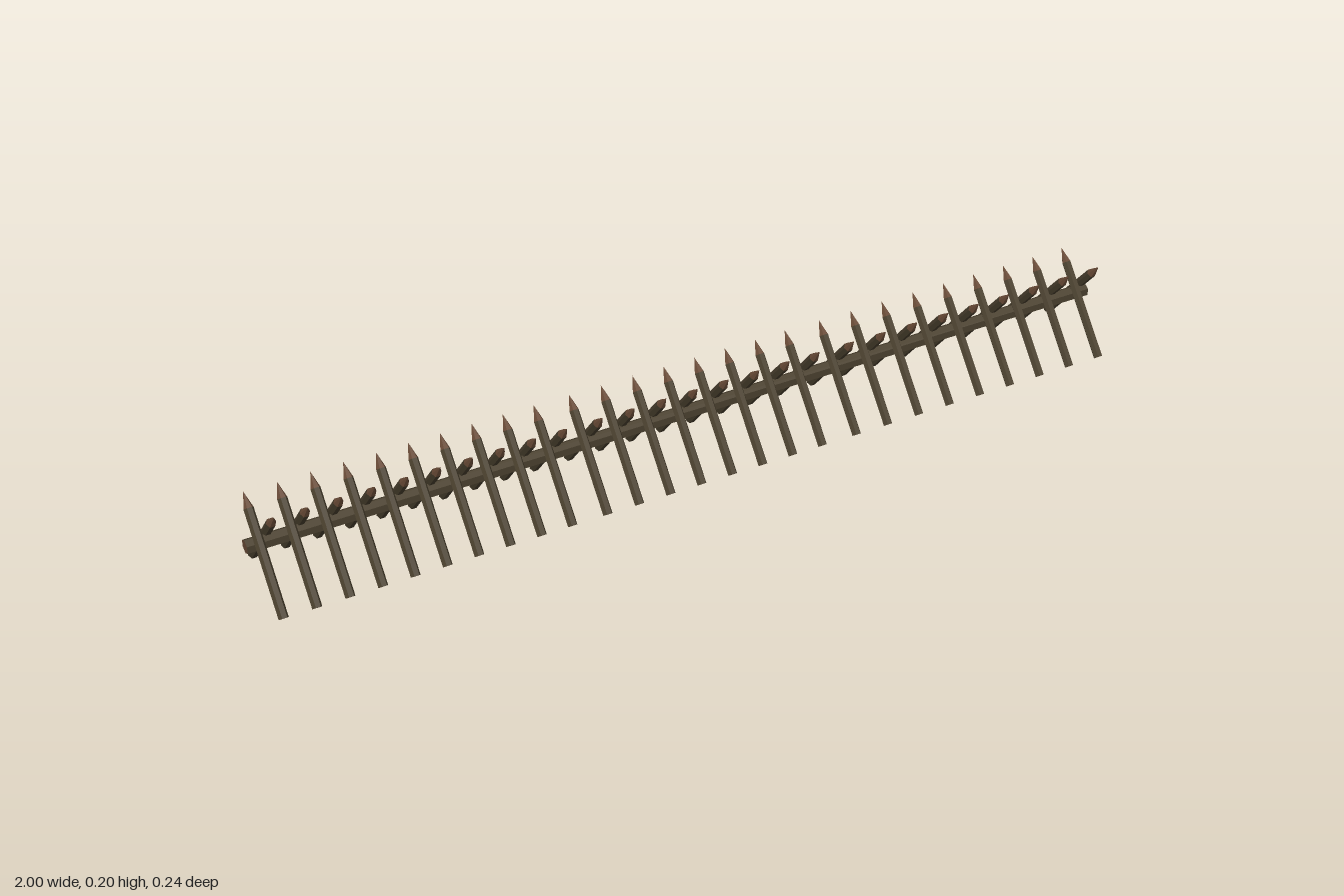
import * as THREE from 'three';

export function createModel() {
  const model = new THREE.Group();
  model.name = 'spikedBarrier';

  const bark = new THREE.MeshStandardMaterial({ color: 0x4a402e, flatShading: true });
  bark.name = 'dark bark';
  const cutWood = new THREE.MeshStandardMaterial({ color: 0x684a36, flatShading: true });
  cutWood.name = 'cut wood';

  // Long hexagonal beam with an edge pointing down
  const beamGeo = new THREE.CylinderGeometry(0.016, 0.016, 2, 6, 1, false, Math.PI / 6);
  beamGeo.rotateZ(Math.PI / 2);
  beamGeo.rotateX(Math.PI / 2 + Math.PI / 6 - Math.PI / 6);
  beamGeo.rotateX(Math.PI / 2);
  const beam = new THREE.Mesh(beamGeo, [bark, cutWood, cutWood]);
  beam.name = 'beam';
  beam.position.y = 0.115;
  model.add(beam);

  // Stake: hexagonal shaft with a sharpened tip, foot at its origin
  const R = 0.0105, LENGTH = 0.259, TIP = 0.034, SHAFT = LENGTH - TIP;
  const shaftGeo = new THREE.CylinderGeometry(R, R, SHAFT, 6, 1, false, Math.PI / 6);
  shaftGeo.translate(0, SHAFT / 2, 0);
  const tipGeo = new THREE.ConeGeometry(R, TIP, 6, 1, true, Math.PI / 6);
  tipGeo.translate(0, SHAFT + TIP / 2, 0);
  const lean = Math.atan2(0.1675, 0.198);

  function addStake(x, side) {
    const stake = new THREE.Group();
    stake.name = side > 0 ? 'frontStake' : 'backStake';
    const shaft = new THREE.Mesh(shaftGeo, [bark, cutWood, cutWood]);
    shaft.name = 'shaft';
    const tip = new THREE.Mesh(tipGeo, cutWood);
    tip.name = 'sharpTip';
    stake.add(shaft, tip);
    stake.position.set(x, 0.006, side * 0.1125);
    stake.rotation.x = -side * lean;
    model.add(stake);
  }

  // Crossed pairs in three runs of slightly different spacing: start, step, count
  const runs = [[-0.963, 0.0695, 10], [-0.257, 0.0734, 8], [0.342, 0.0796, 9]];
  for (const [start, step, count] of runs) {
    for (let i = 0; i < count; i++) {
      const x = start + i * step;
      addStake(x - 0.0107, 1);
      addStake(x + 0.0107, -1);
    }
  }
  return model;
}
